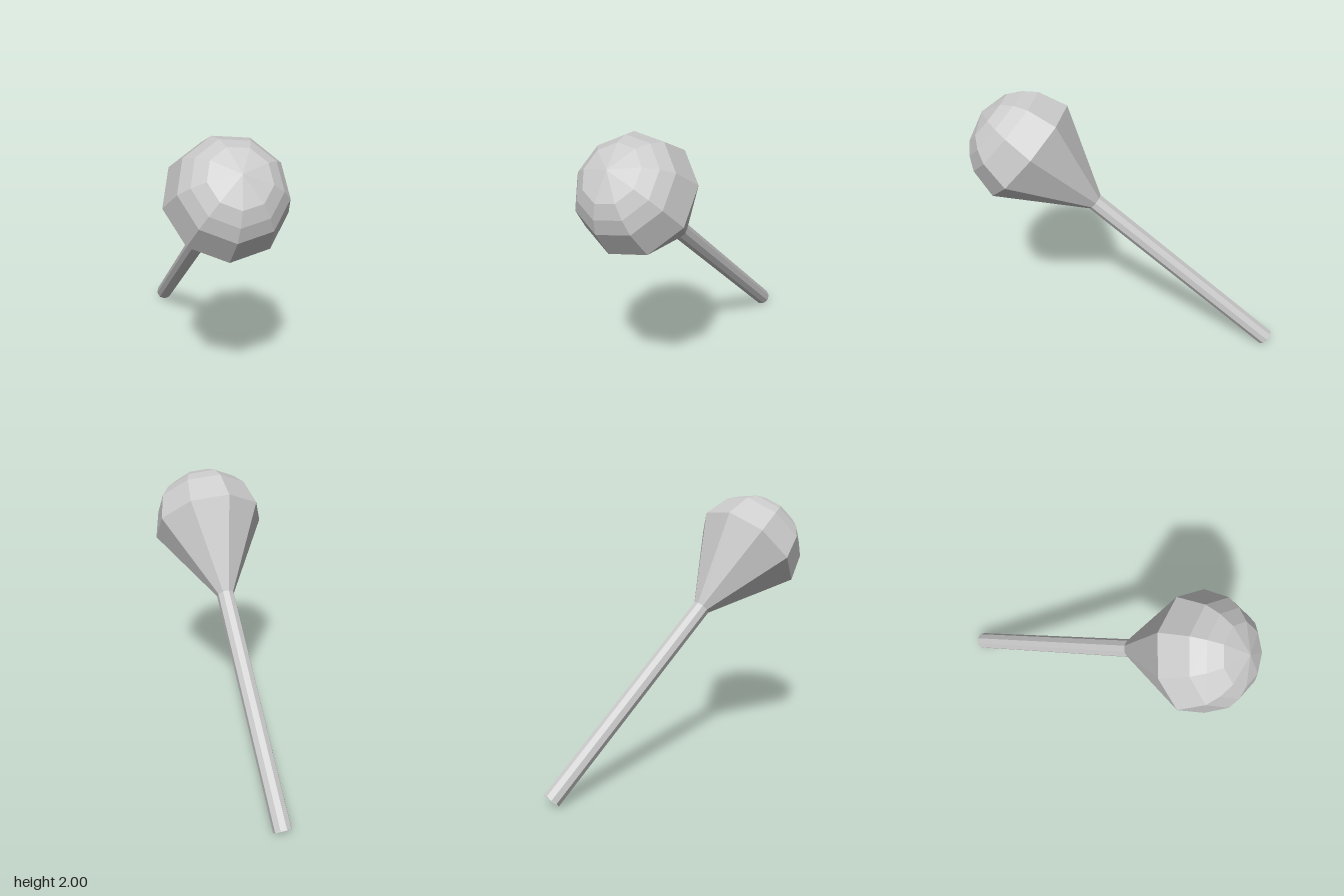
import * as THREE from 'three';

const SIDES = 9;
const HANDLE_LENGTH = 1.76;   // open end to neck
const RIM = 2.364;            // open end to widest ring
const HANDLE_RADIUS = 0.065;
const HEAD_RADIUS = 0.417;

function facetedLathe(name, points) {
  const material = new THREE.MeshStandardMaterial({
    color: 0xcccccc, flatShading: true, side: THREE.DoubleSide,
  });
  const profile = points.map(([r, y]) => new THREE.Vector2(r, y));
  const mesh = new THREE.Mesh(new THREE.LatheGeometry(profile, SIDES), material);
  mesh.name = name;
  return mesh;
}

export function createModel() {
  const model = new THREE.Group();
  model.name = 'mallet';

  // Slim nine-sided handle, open at its lower end
  model.add(facetedLathe('handle', [[HANDLE_RADIUS, 0], [HANDLE_RADIUS, HANDLE_LENGTH]]));

  // Cone flaring from the handle to the rim of the head
  model.add(facetedLathe('neckCone', [[HANDLE_RADIUS, HANDLE_LENGTH], [HEAD_RADIUS, RIM]]));

  // Faceted half-sphere on top of the cone
  const dome = [0, 30, 45, 60, 90].map((deg) => {
    const a = THREE.MathUtils.degToRad(deg);
    return [deg === 90 ? 0 : HEAD_RADIUS * Math.cos(a), RIM + HEAD_RADIUS * Math.sin(a)];
  });
  model.add(facetedLathe('headDome', dome));

  // Lean the whole piece along its diagonal axis, with a corner line facing "spoke"
  const axis = new THREE.Vector3(0.548, 0.652, 0.523).normalize();
  const spoke = new THREE.Vector3(0.19, 0.118, -0.351);
  spoke.addScaledVector(axis, -spoke.dot(axis)).normalize();
  const across = new THREE.Vector3().crossVectors(axis, spoke);
  model.quaternion.setFromRotationMatrix(new THREE.Matrix4().makeBasis(across, axis, spoke));
  model.position.set(-0.815, 0.05, -0.795);

  const root = new THREE.Group();
  root.add(model);
  return root;
}
